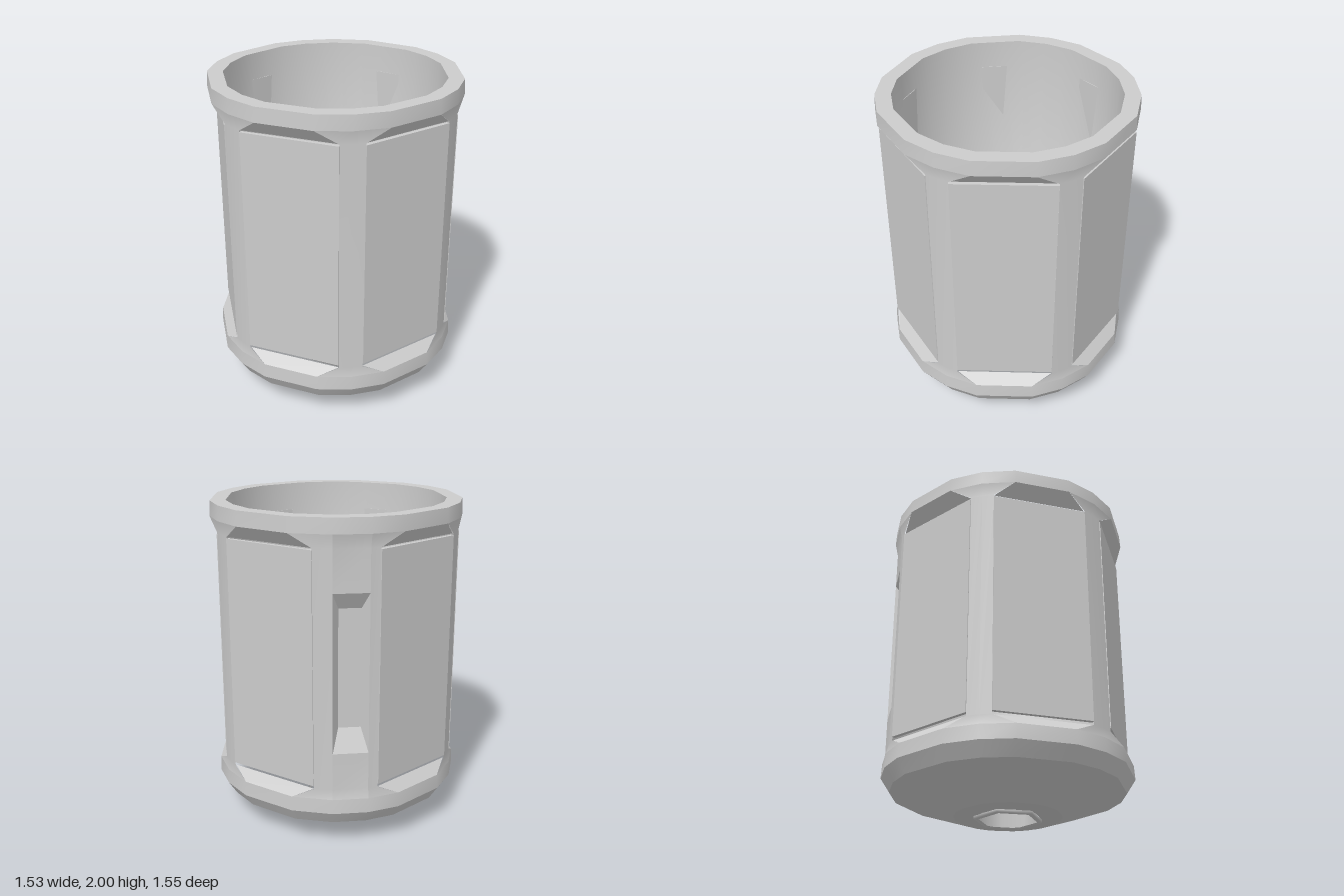
import * as THREE from 'three';

const rad = THREE.MathUtils.degToRad;
const grey = new THREE.MeshStandardMaterial({ color: 0xcccccc });
const greyThin = new THREE.MeshStandardMaterial({ color: 0xcccccc, side: THREE.DoubleSide });

// polar point: angle in degrees from +x towards +z
const polar = (a, r, y) => [r * Math.cos(rad(a)), y, r * Math.sin(rad(a))];

function indexed(pos, idx) {
  const g = new THREE.BufferGeometry();
  g.setAttribute('position', new THREE.Float32BufferAttribute(pos, 3));
  g.setIndex(idx);
  g.computeVertexNormals();
  return g;
}

// wall patch through the given angles; rows run upward as [y, radius, angles]
function patch(rows) {
  const pos = [], idx = [], n = rows[0][2].length;
  rows.forEach(([y, r, angles], j) => angles.forEach((a, i) => {
    pos.push(...polar(a, r, y));
    if (j && i < n - 1) {
      const b = j * n + i, c = b - n;
      idx.push(c, b, c + 1, c + 1, b, b + 1);
    }
  }));
  return indexed(pos, idx);
}

export function createModel() {
  const model = new THREE.Group();
  model.name = 'canister';
  const body = new THREE.Group();
  body.name = 'body';
  body.position.z = -0.02;
  model.add(body);
  const add = (name, geometry, material = grey) => {
    const m = new THREE.Mesh(geometry, material);
    m.name = name;
    body.add(m);
    return m;
  };
  const lathe = (name, pts, seg) =>
    add(name, new THREE.LatheGeometry(pts.map(p => new THREE.Vector2(...p)), seg));

  // six flat panels, evenly stepped, leaving a wider gap at the back
  const step = 57, wide = 23, narrow = 13, slot = 8, slotAngle = 268;
  const centres = [-2.5, -1.5, -0.5, 0.5, 1.5, 2.5].map(k => 90 + k * step);
  const left = centres[5], right = centres[0] + 360;
  const sides = [slotAngle - slot, slotAngle + slot];

  // corner angles shared by the flanges, so that they meet ramps and columns
  const ring = centres.slice(0, 5).flatMap(c => [c - narrow, c + narrow, c + step / 2]);
  ring.push(left - narrow, left + narrow, ...sides, right - narrow);
  const band = (name, y0, r0, y1, r1) => add(name, patch([[y0, r0, ring], [y1, r1, ring]]));
  band('base', 0.018, 0.19, 0.02, 0.33);
  band('baseCone', 0.02, 0.33, 0.155, 0.72);
  band('lowerBevel', 0.155, 0.72, 0.24, 0.775);
  band('lowerFlange', 0.24, 0.775, 0.33, 0.77);
  band('upperFlange', 1.91, 0.775, 2, 0.77);
  band('rim', 2, 0.77, 2, 0.675);

  // cylindrical interior with a softly shaded floor and a central drain
  lathe('interior', [[0.685, 2], [0.665, 0.43], [0.19, 0.41]], 32);
  lathe('drainTube', [[0.19, 0.41], [0.18, 0]], 8);
  lathe('drainCollarTop', [[0.21, 0.375], [0.21, 0.41], [0.19, 0.41]], 10);
  lathe('drainCollarBottom', [[0.18, 0], [0.21, 0], [0.21, 0.018]], 6);

  const panelGeometry = new THREE.BoxGeometry(0.024, 1.41, 0.59);
  for (const c of centres) {
    const panel = add('panel', panelGeometry);
    panel.position.set(...polar(c, 0.688, 1.115));
    panel.rotation.y = -rad(c);
    // sloping ends of the panel pocket
    const outerEdge = [c - narrow, c + narrow], innerEdge = [c - wide, c + wide];
    add('pocketRampLower', patch([[0.33, 0.77, outerEdge], [0.39, 0.75, innerEdge]]));
    add('pocketRampUpper', patch([[1.83, 0.75, innerEdge], [1.91, 0.775, outerEdge]]));
  }

  // columns between the panels, flaring into both flanges
  const column = (name, flare, waist) => add(name, patch([
    [0.33, 0.77, flare], [0.39, 0.756, waist], [1.83, 0.756, waist], [1.91, 0.775, flare]]));
  for (const c of centres.slice(0, 5)) {
    const mid = c + step / 2, end = c + step;
    column('column', [c + narrow, mid, end - narrow], [c + wide, mid, end - wide]);
  }

  // wide back column, split around a window slot
  const lo = 0.62, hi = 1.58;
  column('backColumnSide', [left + narrow, sides[0]], [left + wide, sides[0]]);
  column('backColumnSide', [sides[1], right - narrow], [sides[1], right - wide]);
  add('backColumnBottom', patch([[0.33, 0.77, sides], [0.39, 0.756, sides], [lo, 0.756, sides]]));
  add('backColumnTop', patch([[hi, 0.756, sides], [1.83, 0.756, sides], [1.91, 0.775, sides]]));

  // bevelled frame sinking into the slot, closed by a narrow window
  const corners = (a, r, y0, y1) =>
    [[-a, y0], [a, y0], [a, y1], [-a, y1]].map(([da, y]) => polar(slotAngle + da, r, y));
  const outer = corners(slot, 0.756, lo, hi), inner = corners(5.5, 0.69, 0.76, 1.48);
  for (let i = 0; i < 4; i++) {
    const j = (i + 1) % 4;
    add('slotBevel', indexed([...outer[i], ...outer[j], ...inner[j], ...inner[i]],
      [0, 2, 1, 0, 3, 2]), greyThin);
  }
  add('slotWindow', indexed(inner.flat(), [0, 2, 1, 0, 3, 2]));
  return model;
}
